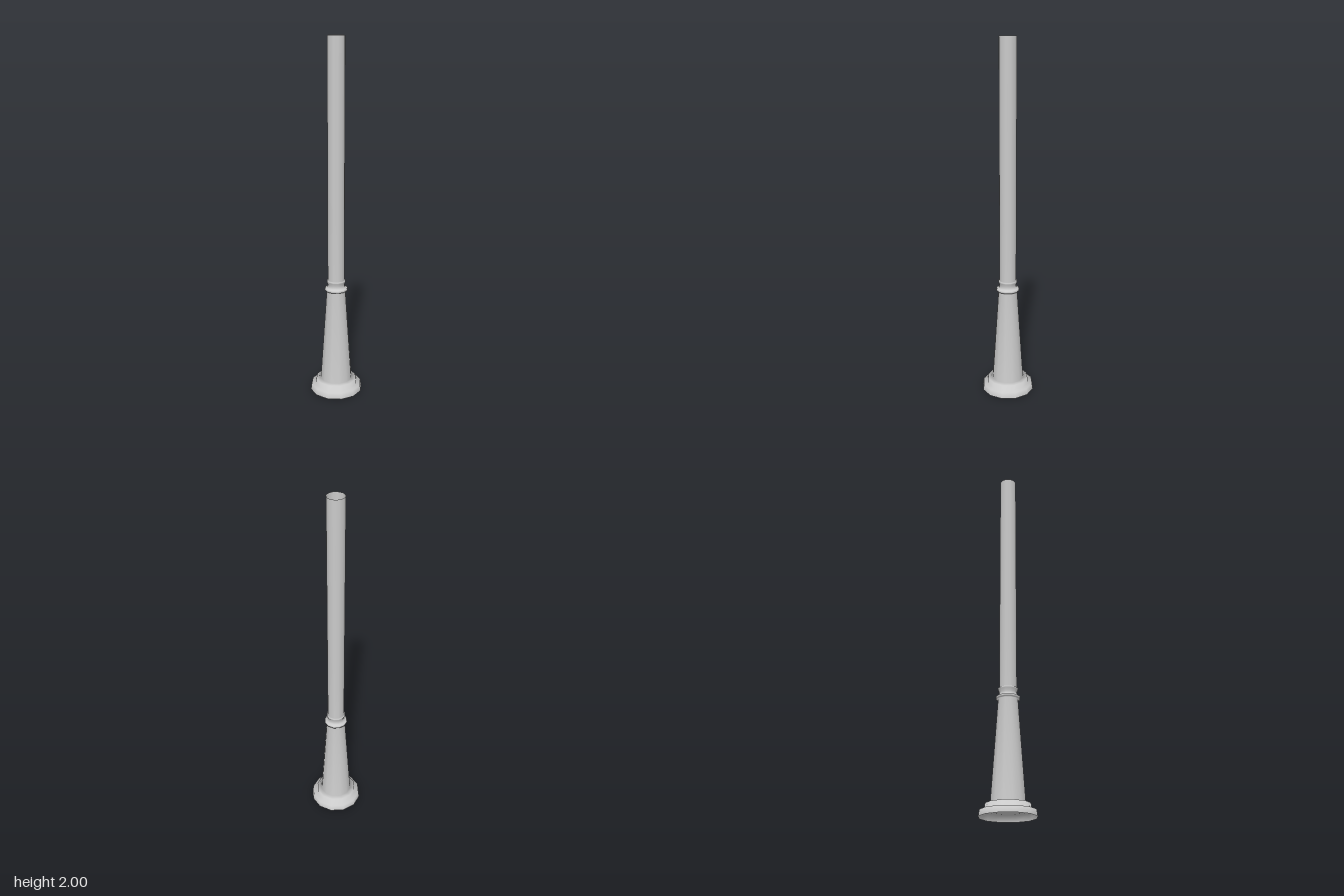
import * as THREE from 'three';

const SIDES = 12;

// Outline from the ground up: [radius, height], grouped by part.
// Each part starts at the last point of the one before.
const PARTS = {
  steppedBase: [[0.15, 0], [0.145, 0.034], [0.12, 0.036], [0.117, 0.066], [0.091, 0.068]],
  taperedShaft: [[0.054, 0.607]],
  collar: [[0.064, 0.609], [0.066, 0.616], [0.063, 0.623], [0.05, 0.627],
    [0.047, 0.645], [0.054, 0.66], [0.054, 0.668], [0.048, 0.671]],
  pole: [[0.048, 1], [0.048, 2]],
};

export function createModel() {
  const group = new THREE.Group();
  group.name = 'lampPost';
  const material = new THREE.MeshStandardMaterial({ color: 0xcccccc, side: THREE.DoubleSide });

  // One hollow turned surface, so shading runs smoothly across the parts
  const points = Object.values(PARTS).flat().map(([r, y]) => new THREE.Vector2(r, y));
  const lathe = new THREE.LatheGeometry(points, SIDES);
  const index = Array.from(lathe.index.array);
  const bands = points.length - 1;

  // Each part keeps its own bands of the surface
  let end = -1;
  for (const [name, profile] of Object.entries(PARTS)) {
    const start = Math.max(end, 0);
    end += profile.length;
    const last = end;
    const geometry = lathe.clone();
    geometry.setIndex(index.filter((_, i) => {
      const band = Math.floor(i / 6) % bands;
      return band >= start && band < last;
    }));
    const mesh = new THREE.Mesh(geometry, material);
    mesh.name = name;
    group.add(mesh);
  }
  return group;
}
